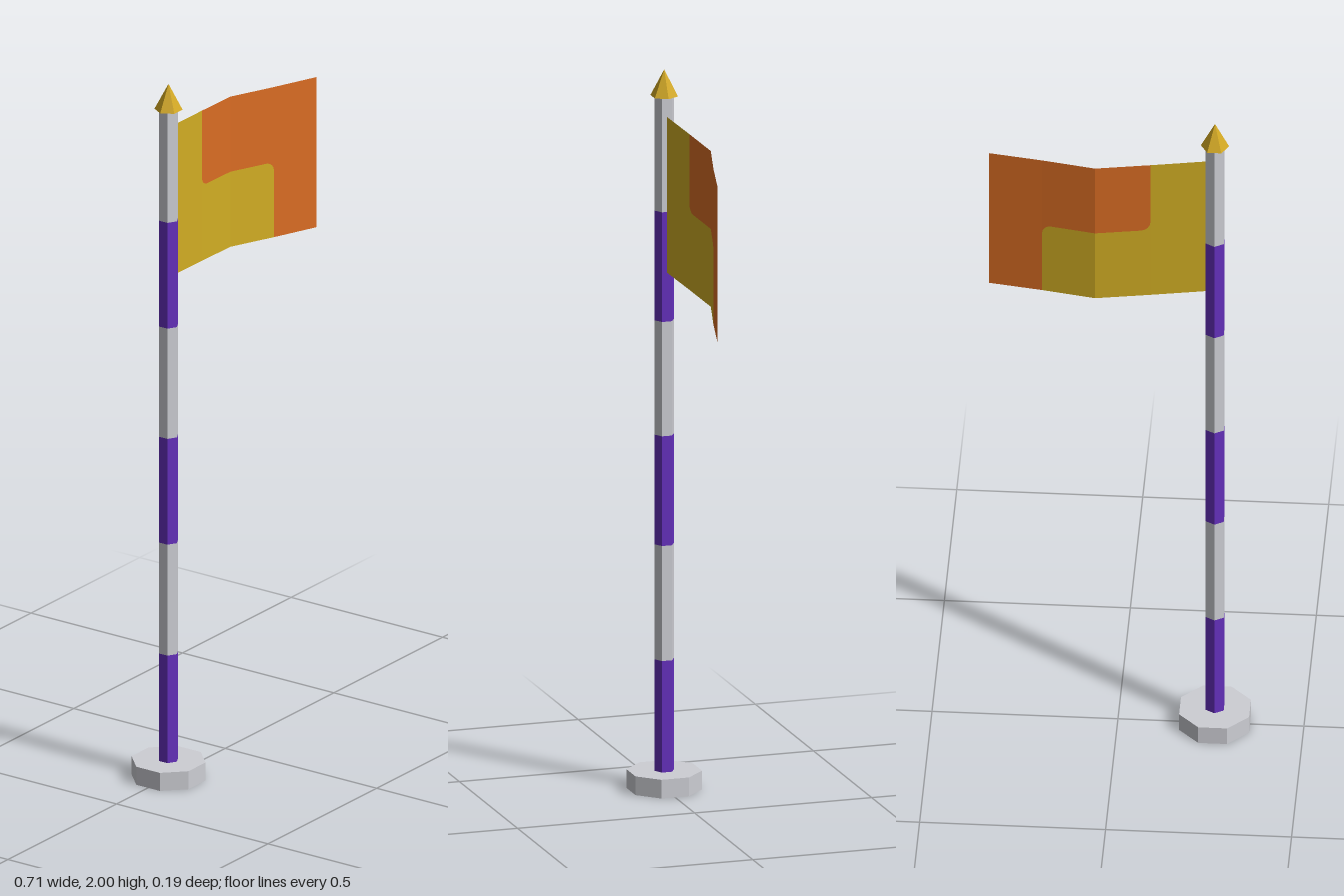
import * as THREE from 'three';

const mat = (name, color, extra = {}) => {
  const m = new THREE.MeshStandardMaterial({ color, flatShading: true, ...extra });
  m.name = name;
  return m;
};

export function createModel() {
  const purple = mat('purple', 0x6530bd);
  const grey = mat('light grey', 0xcdced4);
  const gold = mat('gold', 0xd2a822);
  const yellow = mat('flag yellow', 0xd2ae24, { side: THREE.DoubleSide });
  const orange = mat('flag orange', 0xdb6d24, { side: THREE.DoubleSide });

  const group = new THREE.Group();
  group.name = 'flagpole';
  const poleX = -0.261;

  const add = (parent, name, geometry, material) => {
    const mesh = new THREE.Mesh(geometry, material);
    mesh.name = name;
    parent.add(mesh);
    return mesh;
  };

  // Octagonal foot
  const foot = add(group, 'base', new THREE.CylinderGeometry(0.1018, 0.1018, 0.052, 8), grey);
  foot.position.set(poleX, 0.026, 0);
  foot.rotation.y = Math.PI / 8;

  // Six-sided pole in alternating bands
  const levels = [0.05, 0.362, 0.682, 0.987, 1.305, 1.61, 1.928];
  for (let i = 0; i < 6; i++) {
    const h = levels[i + 1] - levels[i];
    const band = add(group, 'poleBand' + (i + 1),
      new THREE.CylinderGeometry(0.028, 0.028, h, 6, 1, i > 0 && i < 5), i % 2 ? grey : purple);
    band.position.set(poleX, levels[i] + h / 2, 0);
  }

  // Pointed finial
  const finial = add(group, 'finial', new THREE.ConeGeometry(0.038, 0.073, 6), gold);
  finial.position.set(poleX, 1.9635, 0);
  finial.rotation.y = Math.PI / 6;

  // Flag: four flat folds, sheared downwards towards the free end
  const flag = new THREE.Group();
  flag.name = 'flag';
  group.add(flag);
  const foldX = [-0.241, -0.088, 0.06, 0.205, 0.35];
  const foldZ = [0, -0.014, -0.026, 0.014, 0.05];
  const H = 0.433, M = H / 2, r = 0.025;

  const panel = (name, fold, points, material) => {
    const geo = new THREE.ShapeGeometry(new THREE.Shape(points.map(p => new THREE.Vector2(...p))));
    const pos = geo.attributes.position;
    for (let i = 0; i < pos.count; i++) {
      const x = pos.getX(i);
      const t = (x - foldX[fold]) / (foldX[fold + 1] - foldX[fold]);
      const z = foldZ[fold] + t * (foldZ[fold + 1] - foldZ[fold]);
      pos.setXYZ(i, x, 1.441 + pos.getY(i) - 0.0655 * (x - foldX[0]), z);
    }
    geo.computeVertexNormals();
    add(flag, name, geo, material);
  };
  const rect = (a, b, y0, y1) => [[a, y0], [b, y0], [b, y1], [a, y1]];
  const arc = (cx, cy, from) => [0, 1, 2, 3, 4].map(i => {
    const a = from + i * Math.PI / 8;
    return [cx + r * Math.cos(a), cy + r * Math.sin(a)];
  });
  const [a, b, c, d, e] = foldX;
  const inner = arc(b + r, M + r, Math.PI);
  const outer = arc(d - r, M - r, 0);

  panel('hoistPanel', 0, rect(a, b, 0, H), yellow);
  panel('upperInnerPanel', 1, [...inner, [c, M], [c, H], [b, H]], orange);
  panel('lowerInnerPanel', 1, [[b, 0], [c, 0], [c, M], ...[...inner].reverse()], yellow);
  panel('upperOuterPanel', 2, [[c, M], ...[...outer].reverse(), [d, H], [c, H]], orange);
  panel('lowerOuterPanel', 2, [[c, 0], [d, 0], ...outer, [c, M]], yellow);
  panel('flyPanel', 3, rect(d, e, 0, H), orange);

  return group;
}
